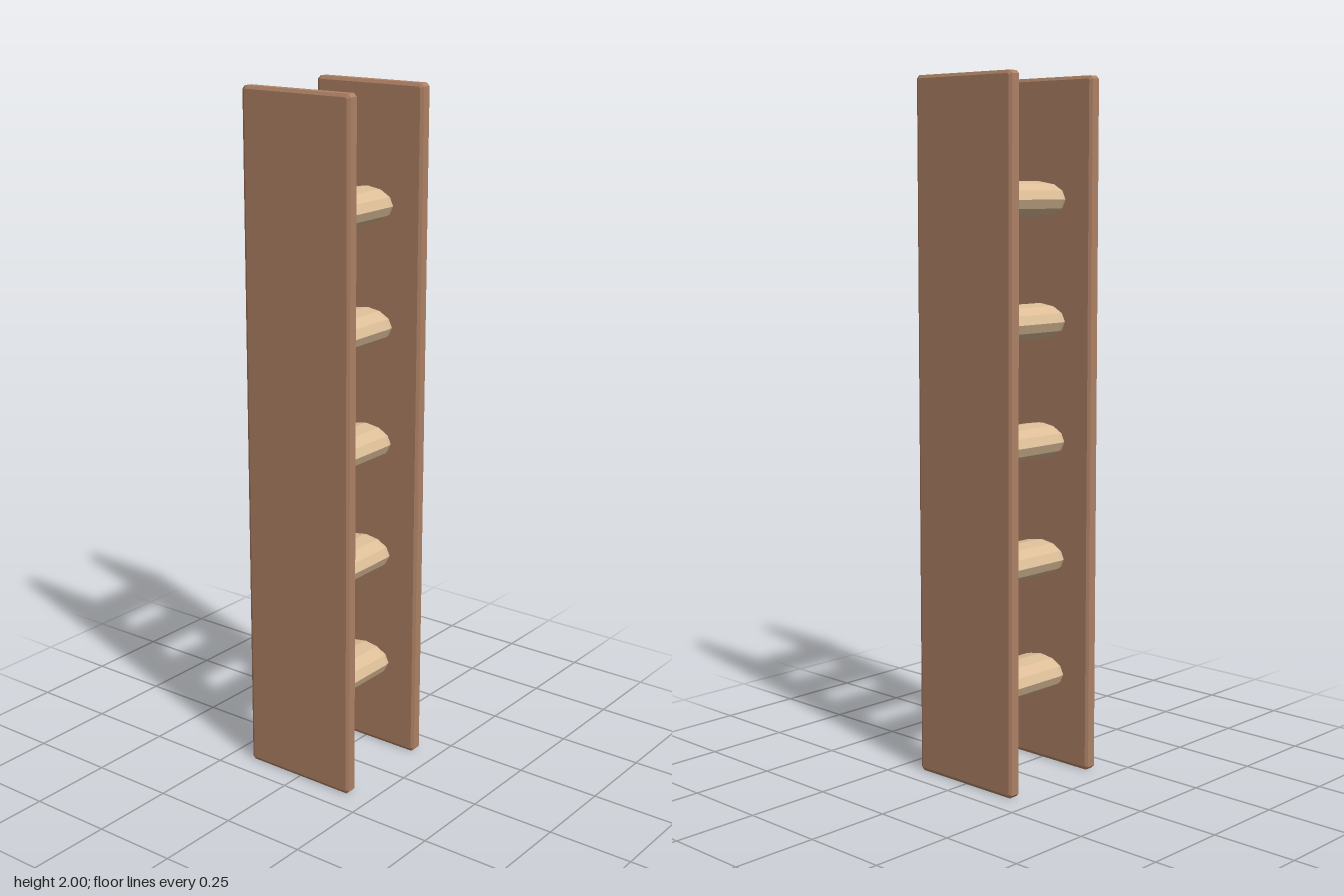
import * as THREE from 'three';

const RAIL = { inner: 0.145, thick: 0.036, halfDepth: 0.181, height: 2 };
const RUNG = { count: 5, first: 0.271, step: 0.347, halfY: 0.051, halfZ: 0.09 };

// Upright board with clipped corners and a thin chamfer round both faces
function railGeometry() {
  const w = RAIL.halfDepth, h = RAIL.height / 2, c = 0.009, chamferX = 0.005;
  const outline = new THREE.Shape([
    [w, -h + c], [w, h - c], [w - c, h], [-w + c, h],
    [-w, h - c], [-w, -h + c], [-w + c, -h], [w - c, -h],
  ].map(([x, y]) => new THREE.Vector2(x, y)));
  const geo = new THREE.ExtrudeGeometry(outline, {
    depth: RAIL.thick - 2 * chamferX,
    bevelEnabled: true, bevelSegments: 1,
    bevelThickness: chamferX, bevelSize: c, bevelOffset: -c,
  });
  geo.center();
  geo.rotateY(Math.PI / 2);
  return geo;
}

// Twelve-sided flattened dowel, slightly tapered where it enters the rails
function rungGeometry() {
  const r = RUNG.halfZ;
  const profile = [[0, -0.16], [r * 0.92, -0.16], [r, -0.13], [r, 0.13], [r * 0.92, 0.16], [0, 0.16]]
    .map(([x, y]) => new THREE.Vector2(x, y));
  const geo = new THREE.LatheGeometry(profile, 12);
  geo.scale(RUNG.halfY / RUNG.halfZ, 1, 1);
  geo.rotateZ(Math.PI / 2);
  return geo;
}

export function createModel() {
  const railWood = new THREE.MeshStandardMaterial({ color: 0xae8165, flatShading: true });
  railWood.name = 'brown rail wood';
  const rungWood = new THREE.MeshStandardMaterial({ color: 0xdcbd97, flatShading: true });
  rungWood.name = 'pale rung wood';

  const ladder = new THREE.Group();
  ladder.name = 'ladder';

  // Side rails
  const railGeo = railGeometry();
  for (const [name, side] of [['leftRail', 1], ['rightRail', -1]]) {
    const rail = new THREE.Mesh(railGeo, railWood);
    rail.name = name;
    rail.position.set(side * (RAIL.inner + RAIL.thick / 2), RAIL.height / 2, 0);
    ladder.add(rail);
  }

  // Rungs
  const rungGeo = rungGeometry();
  for (let i = 0; i < RUNG.count; i++) {
    const rung = new THREE.Mesh(rungGeo, rungWood);
    rung.name = `rung${i + 1}`;
    rung.position.y = RUNG.first + i * RUNG.step;
    ladder.add(rung);
  }
  return ladder;
}
